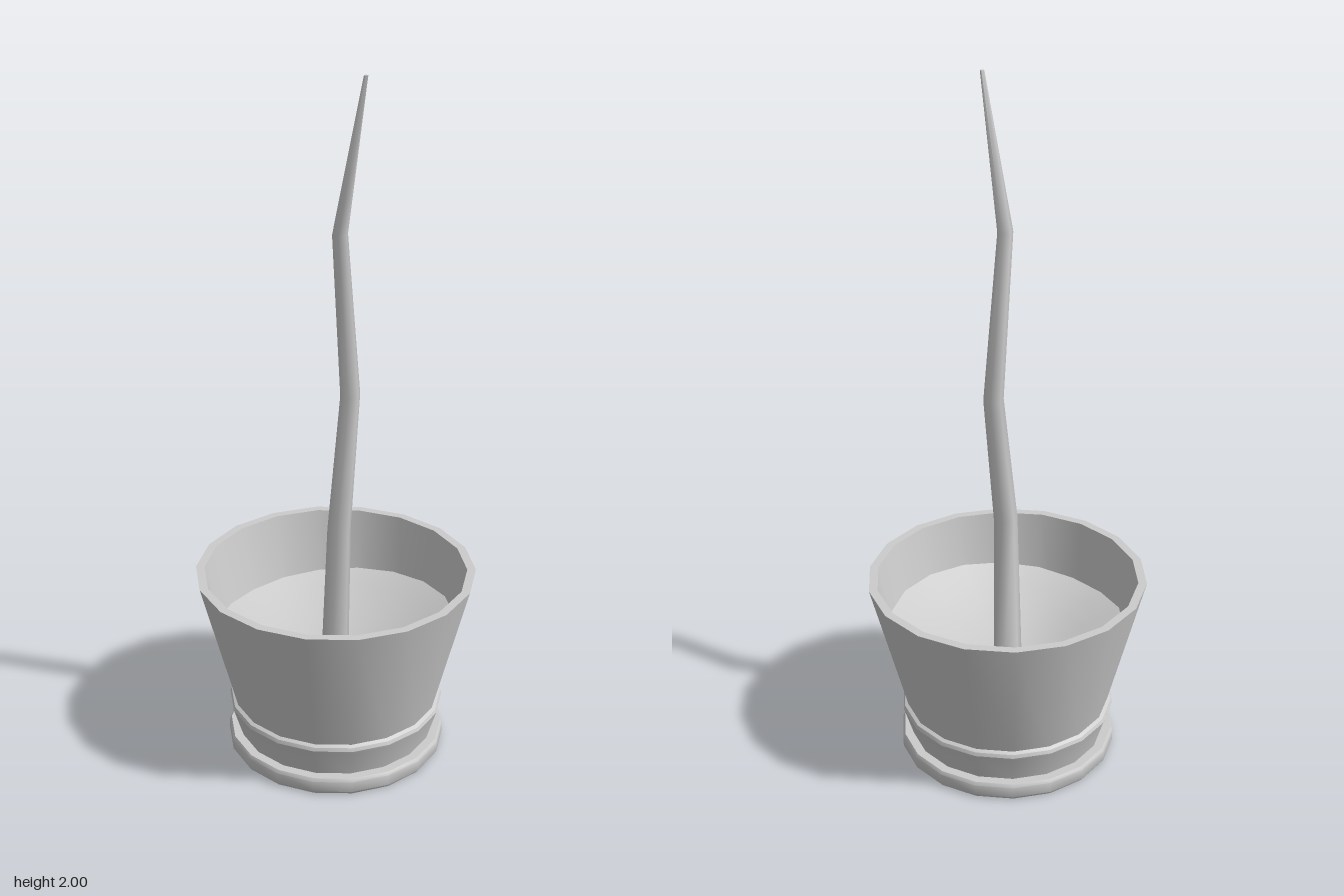
import * as THREE from 'three';
import { toCreasedNormals } from 'three/addons/utils/BufferGeometryUtils.js';

const SIDES = 18;

export function createModel() {
  const group = new THREE.Group();
  const material = new THREE.MeshStandardMaterial({ color: 0xcccccc, side: THREE.DoubleSide });

  const add = (name, geometry, crease = 0.6) => {
    const mesh = new THREE.Mesh(toCreasedNormals(geometry, crease), material);
    mesh.name = name;
    group.add(mesh);
  };

  // Closed [radius, y] profile turned around y, with a corner on the x axis
  const turn = (profile) => new THREE.LatheGeometry(
    [...profile, profile[0]].map(([r, y]) => new THREE.Vector2(r, y)), SIDES, Math.PI / 2);

  // Hollow flared pot with a collar that tapers down into the foot
  add('pot', turn([
    [0.258, 0.01], [0.28, 0.01], [0.288, 0.05], [0.313, 0.132],
    [0.316, 0.142], [0.312, 0.152], [0.302, 0.157], [0.405, 0.56], [0.38, 0.56],
  ]));

  // Foot ring around the open bottom
  add('footRing', turn([
    [0.285, 0], [0.314, 0], [0.32, 0.009], [0.32, 0.041], [0.314, 0.05], [0.28, 0.05], [0.272, 0.015],
  ]));

  // Dished, tilted soil with a bump on one side, meeting the inner wall
  const soil = new THREE.RingGeometry(0.001, 0.344, SIDES, 6).rotateX(-Math.PI / 2);
  const p = soil.attributes.position;
  for (let i = 0; i < p.count; i++) {
    const x = p.getX(i), z = p.getZ(i);
    const dish = 0.085 * (1 - (x * x + z * z) / 0.118);
    const bump = 0.033 * Math.exp(-((x + 0.32) ** 2 + (z + 0.05) ** 2) / 0.025);
    const y = 0.387 + 0.05 * (x + z) - dish + bump;
    const fit = 1 + (0.223 * (y - 0.4)) / 0.344;
    p.setXYZ(i, x * fit, y, z * fit);
  }
  add('soil', soil);

  // Crooked six-sided stem: centre x, y, z and radius of each ring, top to bottom
  const rings = [
    [0.037, 2.0, 0.126, 0.006], [-0.01, 1.58, 0.065, 0.022], [0.032, 1.11, 0.03, 0.029],
    [-0.008, 0.72, 0.054, 0.035], [-0.002, 0.28, 0, 0.042],
  ];
  const steps = rings.length - 1;
  const stem = new THREE.CylinderGeometry(1, 1, steps, 6, steps, false, Math.PI / 6);
  const s = stem.attributes.position;
  for (let i = 0; i < s.count; i++) {
    const [cx, cy, cz, r] = rings[Math.round(steps / 2 - s.getY(i))];
    s.setXYZ(i, cx + r * s.getX(i), cy, cz + r * s.getZ(i));
  }
  add('stem', stem, 1.2);

  return group;
}
